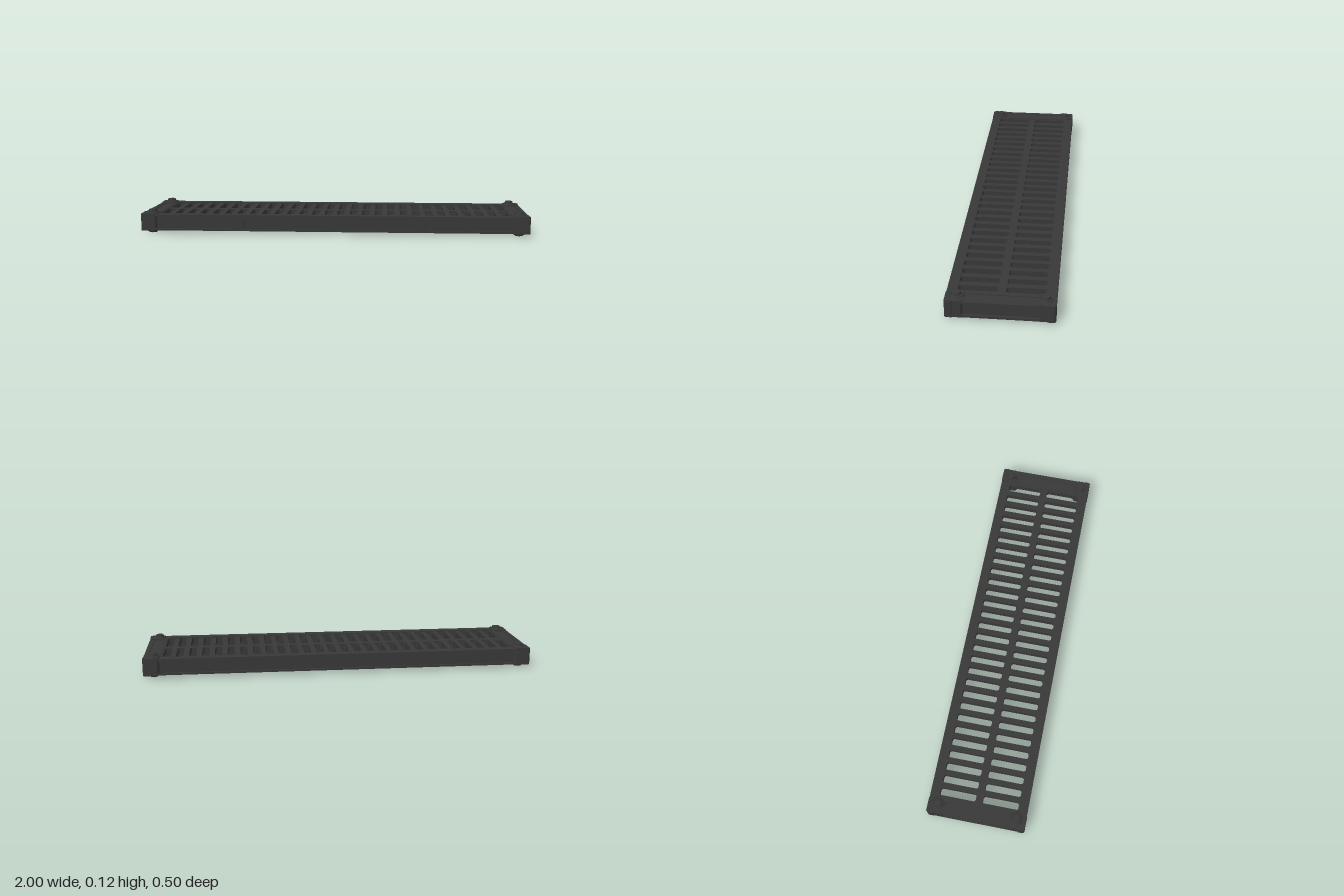
import * as THREE from 'three';

export function createModel() {
  const group = new THREE.Group();
  const iron = new THREE.MeshStandardMaterial({ color: 0x383838 });
  iron.name = 'darkIron';

  const add = (name, geometry, x = 0, y = 0, z = 0) => {
    const mesh = new THREE.Mesh(geometry, iron);
    mesh.name = name;
    mesh.position.set(x, y, z);
    group.add(mesh);
    return mesh;
  };
  // Box given by its limits on each axis
  const box = (name, x0, x1, y0, y1, z0, z1) =>
    add(name, new THREE.BoxGeometry(x1 - x0, y1 - y0, z1 - z0), (x0 + x1) / 2, (y0 + y1) / 2, (z0 + z1) / 2);

  // Rectangle with cut corners, for slots and corner posts
  const chamfered = (target, cx, cy, w, h, c) => {
    const a = w / 2, b = h / 2;
    const corners = [[-a + c, -b], [a - c, -b], [a, -b + c], [a, b - c], [a - c, b], [-a + c, b], [-a, b - c], [-a, -b + c]];
    target.setFromPoints(corners.map(([x, y]) => new THREE.Vector2(cx + x, cy + y)));
    return target;
  };
  // Extrude a plan shape upward from y0 to y1
  const slab = (name, shape, y0, y1, x = 0, z = 0) => {
    const geometry = new THREE.ExtrudeGeometry(shape, { depth: y1 - y0, bevelEnabled: false });
    geometry.rotateX(-Math.PI / 2);
    return add(name, geometry, x, y0, z);
  };

  // Slotted deck: two rows of drain slots
  const deck = chamfered(new THREE.Shape(), 0, 0, 1.97, 0.47, 0.01);
  const count = 28, pitch = 0.0655;
  for (let i = 0; i < count; i++) {
    const x = (i - (count - 1) / 2) * pitch;
    for (const s of [-1, 1]) deck.holes.push(chamfered(new THREE.Path(), x, s * 0.109, 0.038, 0.182, 0.007));
  }
  slab('slottedDeck', deck, 0.066, 0.096);

  // Spine under the deck
  box('centreSpine', -0.92, 0.92, 0.045, 0.0955, -0.014, 0.014);

  for (const s of [-1, 1]) {
    const span = (a, b) => (s > 0 ? [a, b] : [-b, -a]);
    // Long sides: recessed web, flanges and ribs
    box('sideWeb', -0.95, 0.95, 0.02, 0.095, ...span(0.222, 0.236));
    box('sideTopFlange', -0.95, 0.95, 0.09, 0.1, ...span(0.2, 0.248));
    box('sideBottomFlange', -0.95, 0.95, 0.016, 0.026, ...span(0.222, 0.248));
    for (const x of [-0.47, 0, 0.47]) box('sideRib', x - 0.006, x + 0.006, 0.018, 0.098, ...span(0.222, 0.247));

    // Short ends: recessed web and flanges
    box('endWeb', ...span(0.97, 0.987), 0.02, 0.095, -0.22, 0.22);
    box('endTopFlange', ...span(0.975, 0.998), 0.09, 0.1, -0.22, 0.22);
    box('endInnerEdge', ...span(0.912, 0.932), 0.07, 0.1, -0.2, 0.2);
    box('endBottomFlange', ...span(0.97, 0.998), 0.016, 0.028, -0.22, 0.22);
  }

  // Corner posts, pads, bolts and feet
  for (const sx of [-1, 1]) for (const sz of [-1, 1]) {
    const post = chamfered(new THREE.Shape(), 0, 0, 0.08, 0.04, 0.007);
    slab('cornerPost', post, 0.014, 0.102, sx * 0.96, sz * 0.23);
    const pad = chamfered(new THREE.Shape(), 0, 0, 0.08, 0.084, 0.012);
    slab('cornerPad', pad, 0.088, 0.104, sx * 0.957, sz * 0.206);
    slab('cornerBoss', pad, 0.014, 0.09, sx * 0.957, sz * 0.206);
    const x = sx * 0.948, z = sz * 0.2;
    add('boltWasher', new THREE.CylinderGeometry(0.03, 0.033, 0.006, 24), x, 0.106, z);
    add('boltHead', new THREE.CylinderGeometry(0.021, 0.025, 0.013, 6), x, 0.1145, z);
    add('footCollar', new THREE.CylinderGeometry(0.034, 0.03, 0.008, 24), x, 0.011, z);
    add('footNut', new THREE.CylinderGeometry(0.024, 0.021, 0.008, 6), x, 0.004, z);
  }
  return group;
}
